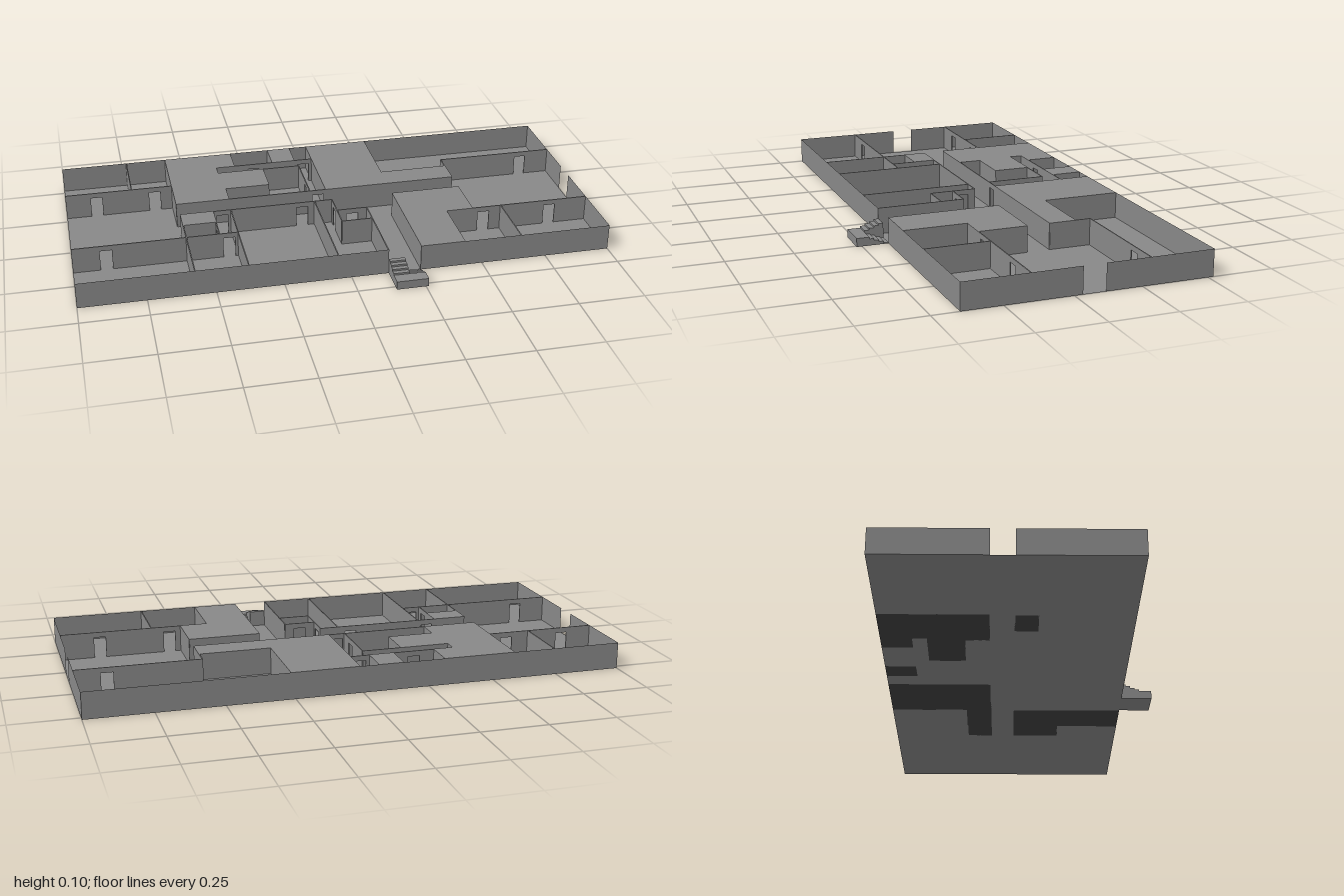
import * as THREE from 'three';
import { mergeGeometries } from 'three/addons/utils/BufferGeometryUtils.js';

const H = 0.1;                // storey height
const DOOR_H = 0.08, DOOR_W = 0.045;
const WALL_T = 0.004;         // inner wall thickness
const BACK = -0.52, FRONT = 0.4;

const makeMaterial = (color) =>
  new THREE.MeshStandardMaterial({ color, flatShading: true, side: THREE.DoubleSide });
const grey = makeMaterial(0x888888);
const dark = makeMaterial(0x424242);

// Closed-off blocks, flat on top with a dark underside: [x0, x1, z0, z1]
const blocks = [
  [0.015, 0.265, BACK, -0.12], [0.265, 0.535, -0.22, -0.12],
  [0.265, 0.43, -0.031, FRONT], [0.43, 0.535, -0.031, 0.155],
  [-0.58, -0.31, BACK, -0.402], [-0.58, -0.385, -0.402, -0.12],
  [-0.385, -0.2, -0.35, -0.21], [-0.385, -0.375, -0.21, -0.12],
  [-0.15, -0.06, BACK, -0.402],
  [-0.575, -0.45, -0.031, 0.055],
];

// Walls in plan: [x0, z0, x1, z1, door centres along the wall's axis]
const outerWalls = [
  [-1, BACK, 1, BACK],
  [-1, FRONT, 0.14, FRONT], [0.262, FRONT, 1, FRONT],
  [-1, BACK, -1, -0.115], [-1, -0.031, -1, FRONT],
  [1, BACK, 1, -0.115], [1, -0.031, 1, FRONT],
];
const innerWalls = [
  // back left rooms
  [-1, -0.28, -0.58, -0.28, [-0.88, -0.65]],
  [-0.74, BACK, -0.74, -0.28], [-0.58, BACK, -0.58, -0.12],
  // back middle cupboards, passage and inner room
  [-0.31, BACK, -0.31, -0.402], [-0.15, BACK, -0.15, -0.402], [-0.06, BACK, -0.06, -0.402],
  [-0.385, -0.402, 0.015, -0.402, [-0.23, -0.022]],
  [-0.385, -0.402, -0.385, -0.35], [-0.385, -0.35, -0.05, -0.35],
  [-0.2, -0.35, -0.2, -0.21], [-0.375, -0.21, -0.2, -0.21], [-0.375, -0.21, -0.375, -0.12],
  [-0.05, -0.35, -0.05, -0.12, [-0.2]], [0.015, BACK, 0.015, -0.12],
  [-0.58, -0.12, 0.015, -0.12, [-0.018]], [0.015, -0.12, 0.535, -0.12],
  // back right room
  [0.265, BACK, 0.265, -0.22], [0.265, -0.22, 0.535, -0.22],
  [0.535, -0.28, 0.535, -0.12], [0.535, -0.28, 1, -0.28, [0.88]],
  // front left rooms
  [-1, 0.15, -0.38, 0.15, [-0.875, -0.415]],
  [-0.575, -0.031, -0.575, FRONT], [-0.575, 0.055, -0.45, 0.055],
  [-0.45, -0.031, -0.45, 0.15, [0.1]], [-0.38, -0.031, -0.38, FRONT],
  // front middle rooms
  [-0.575, -0.031, 0.02, -0.031, [-0.415, -0.1]],
  [-0.05, -0.031, -0.05, FRONT],
  [0.02, -0.031, 0.02, 0.15, [0.02]], [0.02, 0.06, 0.138, 0.06, [0.08]],
  [0.02, 0.15, 0.138, 0.15], [0.138, 0.06, 0.138, FRONT],
  // front right rooms
  [0.265, -0.031, 0.265, FRONT], [0.265, -0.031, 0.535, -0.031],
  [0.535, -0.031, 0.535, 0.155], [0.43, 0.155, 1, 0.155, [0.58, 0.85]],
  [0.43, 0.155, 0.43, FRONT], [0.65, 0.155, 0.65, FRONT],
];

// An upright wall with door notches cut from its lower edge
function wallGeometry([x0, z0, x1, z1, doors = []], thickness) {
  const alongX = z0 === z1;
  const start = alongX ? x0 : z0;
  const length = alongX ? x1 - x0 : z1 - z0;
  const outline = new THREE.Shape().moveTo(0, 0);
  for (const d of doors) {
    const a = d - start - DOOR_W / 2, b = a + DOOR_W;
    outline.lineTo(a, 0).lineTo(a, DOOR_H).lineTo(b, DOOR_H).lineTo(b, 0);
  }
  outline.lineTo(length, 0).lineTo(length, H).lineTo(0, H);
  const g = thickness
    ? new THREE.ExtrudeGeometry(outline, { depth: thickness, bevelEnabled: false }).translate(0, 0, -thickness / 2)
    : new THREE.ShapeGeometry(outline);
  if (!alongX) g.rotateY(-Math.PI / 2);
  return g.translate(x0, 0, z0);
}

// A horizontal sheet facing up
function sheet(x0, x1, z0, z1, y) {
  return new THREE.PlaneGeometry(x1 - x0, z1 - z0)
    .rotateX(-Math.PI / 2)
    .translate((x0 + x1) / 2, y, (z0 + z1) / 2);
}

// Floor sheets: the plan cut along all block edges, leaving the blocks out
function floorGeometry() {
  const cuts = (list) => [...new Set(list)].sort((a, b) => a - b);
  const xs = cuts([-1, 1, ...blocks.flatMap((b) => [b[0], b[1]])]);
  const zs = cuts([BACK, FRONT, ...blocks.flatMap((b) => [b[2], b[3]])]);
  const parts = [];
  for (let i = 0; i < xs.length - 1; i++) {
    for (let j = 0; j < zs.length - 1; j++) {
      const x = (xs[i] + xs[i + 1]) / 2, z = (zs[j] + zs[j + 1]) / 2;
      if (blocks.some((b) => x > b[0] && x < b[1] && z > b[2] && z < b[3])) continue;
      parts.push(sheet(xs[i], xs[i + 1], zs[j], zs[j + 1], 0));
    }
  }
  return mergeGeometries(parts);
}

// Landing with one half flight going up and the other going down
function createStairs() {
  const stairs = new THREE.Group();
  stairs.name = 'entranceStairs';
  const box = (name, x0, x1, y1, z0, z1) => {
    const m = new THREE.Mesh(new THREE.BoxGeometry(x1 - x0, y1, z1 - z0), grey);
    m.position.set((x0 + x1) / 2, y1 / 2, (z0 + z1) / 2);
    m.name = name;
    stairs.add(m);
  };
  const landingZ = 0.472, landingY = 0.032, steps = 4;
  const depth = (landingZ - FRONT) / steps;
  box('landing', 0.14, 0.26, landingY, landingZ, 0.52);
  for (let i = 0; i < steps; i++) {
    const z1 = landingZ - i * depth;
    box('stepUp', 0.14, 0.2, landingY + (i + 1) * 0.007, z1 - depth, z1);
    box('stepDown', 0.2, 0.26, landingY - (i + 1) * 0.007, z1 - depth, z1);
  }
  return stairs;
}

export function createModel() {
  const model = new THREE.Group();
  model.name = 'floorPlan';
  const add = (name, parts, material = grey) => {
    const mesh = new THREE.Mesh(mergeGeometries(parts), material);
    mesh.name = name;
    model.add(mesh);
  };
  add('floor', [floorGeometry()]);
  add('blockTops', blocks.map((b) => sheet(...b, H)));
  add('blockUndersides', blocks.map((b) => sheet(...b, 0)), dark);
  add('outerWalls', outerWalls.map((w) => wallGeometry(w, 0)));
  add('innerWalls', innerWalls.map((w) => wallGeometry(w, WALL_T)));
  model.add(createStairs());
  return model;
}
